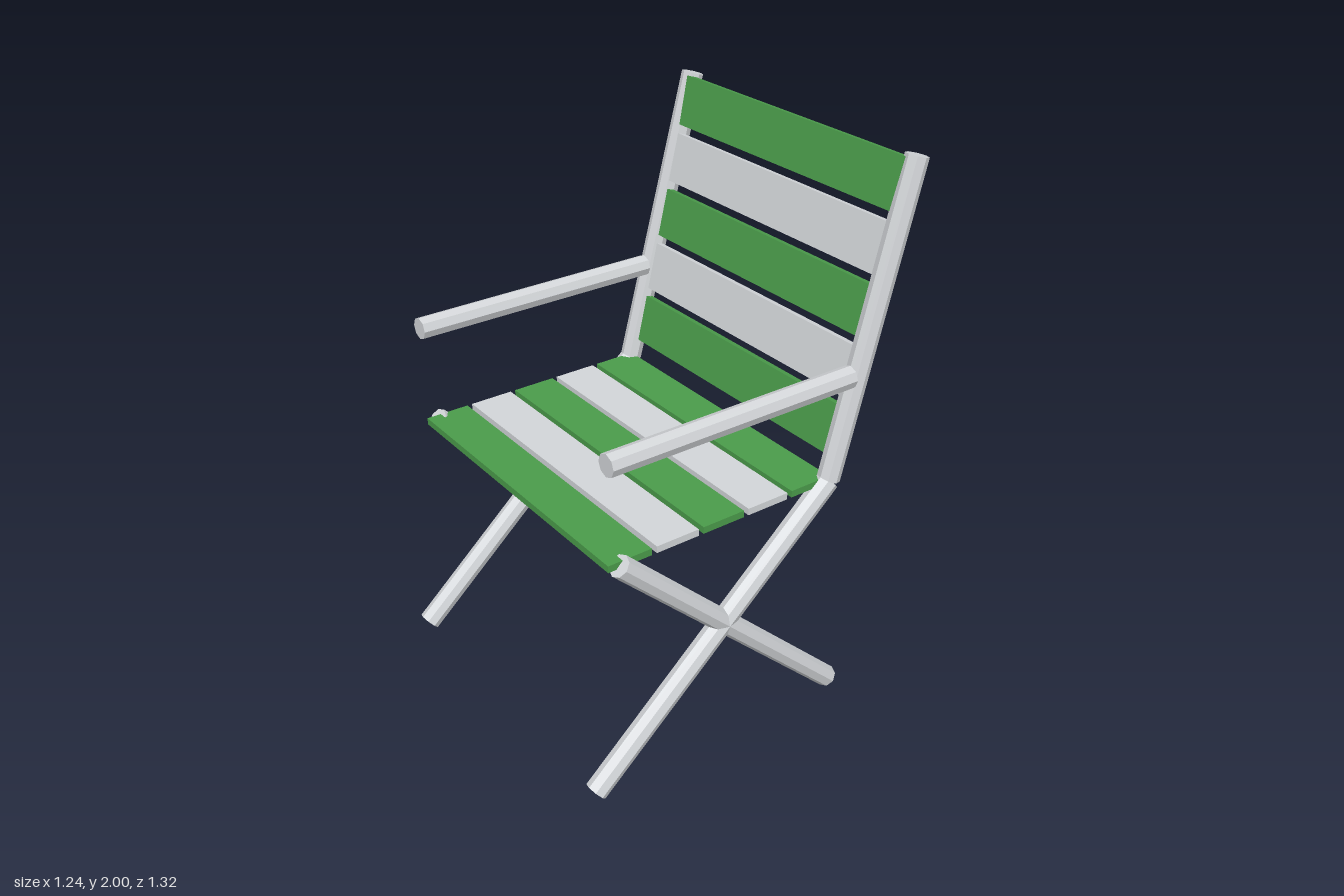
import * as THREE from 'three';

const PIPE_RADIUS = 0.04, SIDE_X = 0.578, SLAT_THICKNESS = 0.025;

export function createModel() {
  const chair = new THREE.Group();
  chair.name = 'foldingChair';

  const grey = new THREE.MeshStandardMaterial({ color: 0xd2d5d8, flatShading: true });
  grey.name = 'light grey';
  const green = new THREE.MeshStandardMaterial({ color: 0x4a9b4a, flatShading: true });
  green.name = 'green';

  // Octagonal pipe between two [y, z] points in a side plane
  function addPipe(name, x, [y0, z0], [y1, z1]) {
    const a = new THREE.Vector3(x, y0, z0), b = new THREE.Vector3(x, y1, z1);
    const dir = b.clone().sub(a);
    const pipe = new THREE.Mesh(
      new THREE.CylinderGeometry(PIPE_RADIUS, PIPE_RADIUS, dir.length(), 8), grey);
    pipe.name = name;
    pipe.position.copy(a).add(b).multiplyScalar(0.5);
    pipe.quaternion.setFromUnitVectors(new THREE.Vector3(0, 1, 0), dir.normalize());
    chair.add(pipe);
  }

  // Side frames: crossed legs, reclined back post and armrest
  for (const [side, x] of [['left', SIDE_X], ['right', -SIDE_X]]) {
    addPipe(side + 'FrontFootLeg', x, [0.03, 0.635], [0.9, -0.333]);
    addPipe(side + 'BackFootLeg', x, [0.03, -0.393], [0.9, 0.53]);
    addPipe(side + 'BackPost', x, [0.905, -0.335], [1.99, -0.622]);
    addPipe(side + 'Armrest', x, [1.275, -0.4], [1.275, 0.573]);
  }

  function addSlat(name, i, size, y, z, tilt) {
    const slat = new THREE.Mesh(
      new THREE.BoxGeometry(SIDE_X * 2, ...size), i % 2 ? grey : green);
    slat.name = name + (i + 1);
    slat.position.set(0, y, z);
    slat.rotation.x = tilt;
    chair.add(slat);
  }

  // Alternating slats: seat runs front to back, backrest bottom to top
  for (let i = 0; i < 5; i++) {
    addSlat('seatSlat', i, [SLAT_THICKNESS, 0.166], 0.902, 0.488 - i * 0.1858, 0);
    addSlat('backSlat', i, [0.18, SLAT_THICKNESS],
      1.069 + i * 0.2068, -0.379 - i * 0.0496, -0.2356);
  }
  return chair;
}
